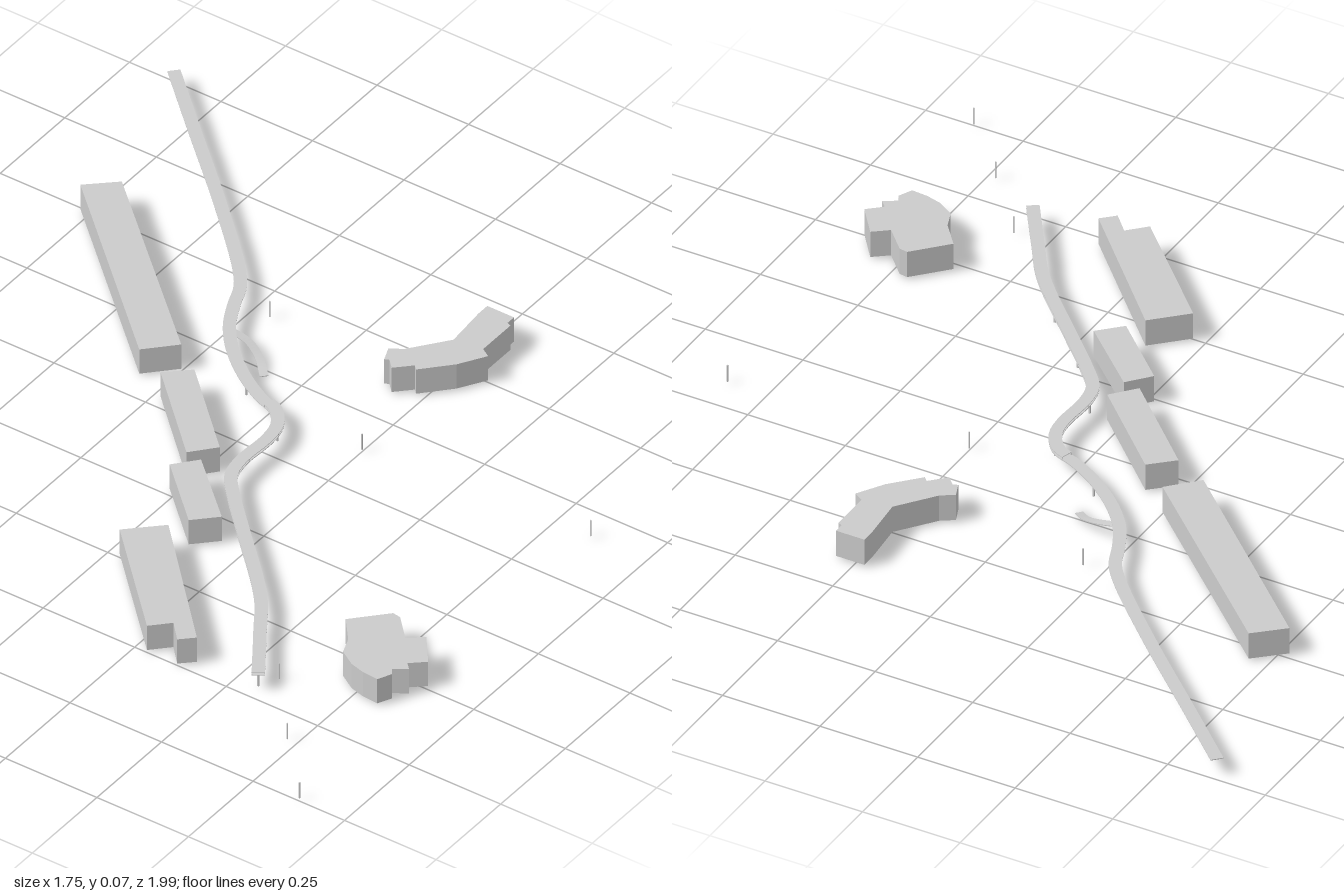
import * as THREE from 'three';

const grey = new THREE.MeshStandardMaterial({ color: 0xcccccc, flatShading: true, side: THREE.DoubleSide });

const BASE = 0.006, ROOF = 0.074, DECK = 0.045, CANOPY = 0.052;

// Plan outlines as [x, z] corners
const buildings = {
  longBlock: [[-0.774, -0.49], [-0.705, -0.553], [-0.251, -0.14], [-0.317, -0.071]],
  middleBlock: [[-0.23, -0.03], [-0.174, -0.082], [0.037, 0.119], [-0.013, 0.177]],
  smallBlock: [[-0.018, 0.235], [0.029, 0.18], [0.188, 0.325], [0.135, 0.378]],
  notchedBlock: [[0.029, 0.495], [0.108, 0.418], [0.399, 0.72], [0.367, 0.751], [0.325, 0.706], [0.283, 0.749]],
  bentBlock: [[0.225, -0.65], [0.298, -0.65], [0.298, -0.625], [0.309, -0.62], [0.309, -0.515], [0.333, -0.5],
    [0.293, -0.435], [0.23, -0.367], [0.219, -0.378], [0.182, -0.341], [0.161, -0.362], [0.15, -0.357],
    [0.135, -0.394], [0.166, -0.415], [0.235, -0.505], [0.225, -0.615]],
  roundedBlock: [[0.631, 0.473], [0.705, 0.394], [0.726, 0.397], [0.779, 0.452], [0.816, 0.423], [0.872, 0.495],
    [0.837, 0.526], [0.853, 0.542], [0.821, 0.563], [0.832, 0.579], [0.816, 0.613], [0.775, 0.61],
    [0.737, 0.6], [0.695, 0.574], [0.679, 0.531]],
};

// Centre line of the raised walkway, [x, z]
const route = [[-0.868, -0.985], [-0.71, -0.838], [-0.499, -0.643], [-0.33, -0.475], [-0.288, -0.42], [-0.261, -0.357],
  [-0.224, -0.288], [-0.166, -0.22], [-0.087, -0.156], [-0.013, -0.114], [0.04, -0.093], [0.077, -0.045],
  [0.087, 0.008], [0.085, 0.103], [0.098, 0.161], [0.151, 0.225], [0.24, 0.315], [0.41, 0.489], [0.483, 0.595], [0.568, 0.722]];

function add(group, name, geometry) {
  const mesh = new THREE.Mesh(geometry, grey);
  mesh.name = name;
  group.add(mesh);
  return mesh;
}

// Prism raised from a plan outline
function prism(outline) {
  const shape = new THREE.Shape(outline.map(([x, z]) => new THREE.Vector2(x, -z)));
  return new THREE.ExtrudeGeometry(shape, { depth: ROOF - BASE, bevelEnabled: false })
    .rotateX(-Math.PI / 2).translate(0, BASE, 0);
}

// Flat band of rectangular section swept along a curve, kept level across
function band(curve, width, thickness, from, to, steps) {
  const pos = [], index = [];
  for (let i = 0; i <= steps; i++) {
    const u = from + (to - from) * i / steps;
    const p = curve.getPointAt(u), t = curve.getTangentAt(u);
    const side = new THREE.Vector3(-t.z, 0, t.x).normalize().multiplyScalar(width / 2);
    for (const [s, h] of [[-1, 0], [1, 0], [1, -thickness], [-1, -thickness]])
      pos.push(p.x + s * side.x, p.y + h, p.z + s * side.z);
    if (i < steps) for (let k = 0; k < 4; k++) {
      const a = i * 4 + k, b = i * 4 + (k + 1) % 4;
      index.push(a, a + 4, b, b, a + 4, b + 4);
    }
  }
  const e = steps * 4;
  index.push(0, 1, 2, 0, 2, 3, e, e + 2, e + 1, e, e + 3, e + 2);
  // Reverse winding so faces look outward
  for (let i = 0; i < index.length; i += 3) [index[i + 1], index[i + 2]] = [index[i + 2], index[i + 1]];
  const g = new THREE.BufferGeometry();
  g.setAttribute('position', new THREE.Float32BufferAttribute(pos, 3));
  g.setIndex(index);
  g.computeVertexNormals();
  return g;
}

function post(group, name, x, z, y0, y1, size) {
  add(group, name, new THREE.BoxGeometry(size, y1 - y0, size)).position.set(x, (y0 + y1) / 2, z);
}

export function createModel() {
  const model = new THREE.Group();
  model.name = 'riversideSite';

  // Buildings
  for (const [name, outline] of Object.entries(buildings)) add(model, name, prism(outline));

  // Walkway deck, with a canopy over the front half
  const walkway = new THREE.Group();
  walkway.name = 'walkway';
  model.add(walkway);
  const line = new THREE.CatmullRomCurve3(route.map(([x, z]) => new THREE.Vector3(x, DECK, z)), false, 'centripetal');
  const canopyStart = 0.55;
  add(walkway, 'deck', band(line, 0.03, 0.002, 0, 1, 140));
  const canopy = add(walkway, 'canopy', band(line, 0.03, 0.0015, canopyStart, 1, 70));
  canopy.position.y = CANOPY - DECK;

  // Columns under the deck
  for (let i = 0; i < 9; i++) {
    const p = line.getPointAt(0.34 + i * 0.0815);
    post(walkway, 'column', p.x, p.z, 0, DECK, 0.004);
  }

  // Small canopy posts along both edges
  for (let i = 0; i <= 18; i++) {
    const u = canopyStart + (0.997 - canopyStart) * i / 18;
    const p = line.getPointAt(u), t = line.getTangentAt(u);
    for (const s of [-0.013, 0.013])
      post(walkway, 'canopyPost', p.x - t.z * s, p.z + t.x * s, DECK, CANOPY, 0.0015);
  }

  // Curved ramp down to the ground
  const ramp = new THREE.CatmullRomCurve3([[-0.22, DECK, -0.28], [-0.165, 0.034, -0.279],
    [-0.122, 0.018, -0.26], [-0.087, 0.003, -0.228]].map(p => new THREE.Vector3(...p)));
  add(walkway, 'ramp', band(ramp, 0.02, 0.002, 0, 1, 20));

  // Slender free-standing poles
  for (const [x, z] of [[0.85, -0.165], [0.585, 0.665], [0.727, 0.835], [0.875, 0.997], [0.25, -0.13], [-0.2, -0.41]])
    post(model, 'pole', x, z, 0.006, 0.05, 0.003);

  return model;
}
